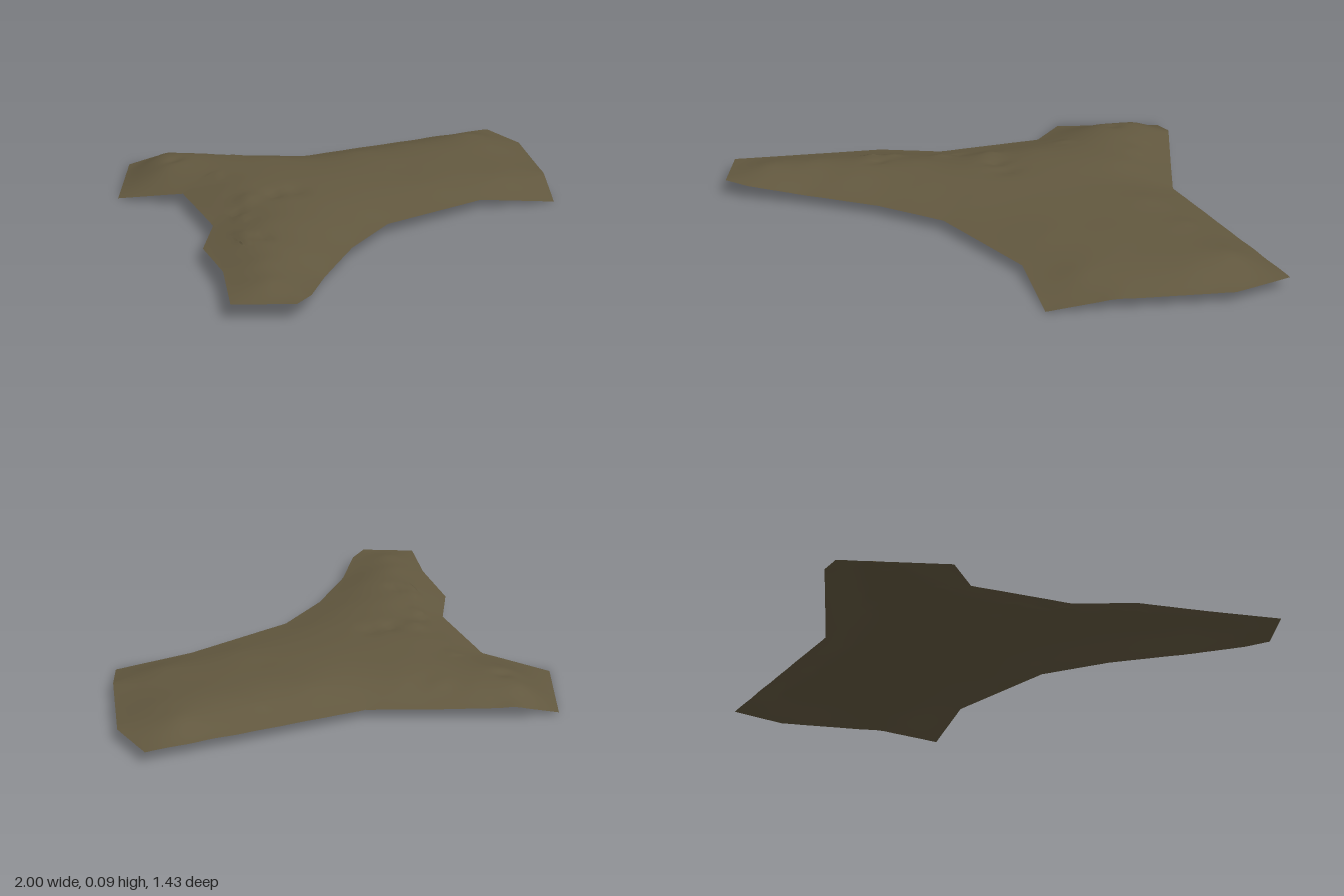
import * as THREE from 'three';
import { mergeVertices } from 'three/addons/utils/BufferGeometryUtils.js';

// Outline of the ground sheet: x, z, height
const OUTLINE = [
  [-0.11, -0.72, 0.01], [0, -0.64, 0.043], [0.19, -0.4, 0.035], [0.31, -0.25, 0.035],
  [1, 0.07, 0.04], [0.93, 0.26, 0.04], [0.67, 0.54, 0.04], [0.52, 0.68, 0.005],
  [0.3, 0.53, 0.035], [-0.11, 0.45, 0.04], [-0.36, 0.5, 0.038], [-0.62, 0.6, 0.038],
  [-0.79, 0.69, 0.053], [-0.88, 0.71, 0.057], [-1, 0.56, 0.053], [-0.82, 0.37, 0.058],
  [-0.68, 0.16, 0.045], [-0.5, 0.04, 0.047], [-0.31, -0.27, 0.043], [-0.4, -0.49, 0.003],
];

// Inner heights of the plateau: x, z, height
const INNER = [
  [-0.1, -0.57, 0.07], [-0.18, -0.46, 0.075], [0, -0.46, 0.075], [-0.1, -0.28, 0.088],
  [0.1, -0.24, 0.083], [-0.2, -0.1, 0.09], [0.1, -0.05, 0.089], [0.35, -0.05, 0.08],
  [0.55, 0.05, 0.079], [0.8, 0.11, 0.077], [0.76, 0.25, 0.072], [0.55, 0.28, 0.075],
  [0.5, 0.48, 0.058], [0.3, 0.2, 0.079], [0.25, 0.36, 0.068], [0.05, 0.2, 0.081],
  [-0.1, 0.31, 0.07], [-0.26, 0.13, 0.09], [-0.3, 0.35, 0.07], [-0.45, 0.22, 0.086],
  [-0.6, 0.32, 0.084], [-0.55, 0.45, 0.071], [-0.72, 0.45, 0.083], [-0.83, 0.56, 0.077],
];

// Small rocks and dents: x, z, radius, rise
const BUMPS = [
  [-0.3, 0.01, 0.035, 0.012], [-0.22, 0.06, 0.03, -0.014], [-0.15, 0.09, 0.04, -0.01],
  [-0.43, 0.1, 0.025, 0.01], [-0.4, 0.06, 0.02, -0.008], [-0.56, 0.22, 0.025, 0.008],
  [-0.55, 0.3, 0.025, -0.009], [-0.61, 0.27, 0.02, 0.006], [-0.13, -0.48, 0.03, -0.008],
  [-0.17, -0.25, 0.02, 0.007], [0.06, -0.36, 0.04, 0.004], [0.55, 0, 0.03, 0.003],
];

const RIM_STEPS = 5;
const kernel = (dx, dz) => Math.sqrt(dx * dx + dz * dz + 0.0009);

// Control points along the rim plus the plateau
function controlPoints() {
  const points = [...INNER];
  OUTLINE.forEach((a, i) => {
    const b = OUTLINE[(i + 1) % OUTLINE.length];
    for (let k = 0; k < RIM_STEPS; k++) {
      points.push(a.map((v, j) => v + (b[j] - v) * k / RIM_STEPS));
    }
  });
  return points;
}

// Gaussian elimination with pivoting on rows [coefficients..., value]
function solve(rows) {
  const n = rows.length;
  for (let c = 0; c < n; c++) {
    let best = c;
    for (let r = c + 1; r < n; r++) if (Math.abs(rows[r][c]) > Math.abs(rows[best][c])) best = r;
    [rows[c], rows[best]] = [rows[best], rows[c]];
    for (let r = c + 1; r < n; r++) {
      const f = rows[r][c] / rows[c][c];
      for (let k = c; k <= n; k++) rows[r][k] -= f * rows[c][k];
    }
  }
  const result = new Array(n).fill(0);
  for (let r = n - 1; r >= 0; r--) {
    let v = rows[r][n];
    for (let k = r + 1; k < n; k++) v -= rows[r][k] * result[k];
    result[r] = v / rows[r][r];
  }
  return result;
}

// Smooth surface through all control points, with the bumps added
function makeHeight() {
  const points = controlPoints();
  const weights = solve(points.map(([x, z, h]) => [
    ...points.map(([px, pz]) => kernel(x - px, z - pz)), h,
  ]));
  return (x, z) => {
    let y = 0;
    points.forEach(([px, pz], i) => { y += weights[i] * kernel(x - px, z - pz); });
    for (const [bx, bz, r, rise] of BUMPS) {
      y += rise * Math.exp(-((x - bx) ** 2 + (z - bz) ** 2) / (r * r));
    }
    return Math.max(0, y);
  };
}

// Split every triangle into four
function subdivide(triangles) {
  const mid = (a, b) => [(a[0] + b[0]) / 2, (a[1] + b[1]) / 2];
  return triangles.flatMap(([a, b, c]) => {
    const ab = mid(a, b), bc = mid(b, c), ca = mid(c, a);
    return [[a, ab, ca], [ab, b, bc], [ca, bc, c], [ab, bc, ca]];
  });
}

export function createModel() {
  const earth = new THREE.MeshStandardMaterial({ color: 0x62583f, side: THREE.DoubleSide });
  earth.name = 'earth brown';

  // Flat sheet cut to the outline
  const flat = new THREE.ShapeGeometry(
    new THREE.Shape(OUTLINE.map(([x, z]) => new THREE.Vector2(x, -z))),
  ).toNonIndexed();
  const p = flat.attributes.position;
  let triangles = [];
  for (let i = 0; i < p.count; i += 3) {
    triangles.push([0, 1, 2].map((k) => [p.getX(i + k), -p.getY(i + k)]));
  }
  for (let level = 0; level < 5; level++) triangles = subdivide(triangles);

  // Raise the sheet into terrain
  const height = makeHeight();
  const positions = triangles.flat().flatMap(([x, z]) => [x, 0, z]);
  let geometry = new THREE.BufferGeometry();
  geometry.setAttribute('position', new THREE.Float32BufferAttribute(positions, 3));
  geometry = mergeVertices(geometry, 1e-5);
  const v = geometry.attributes.position;
  for (let i = 0; i < v.count; i++) v.setY(i, height(v.getX(i), v.getZ(i)));
  geometry.computeVertexNormals();

  const ground = new THREE.Mesh(geometry, earth);
  ground.name = 'groundSheet';
  const model = new THREE.Group();
  model.name = 'terrainPatch';
  model.add(ground);
  return model;
}
